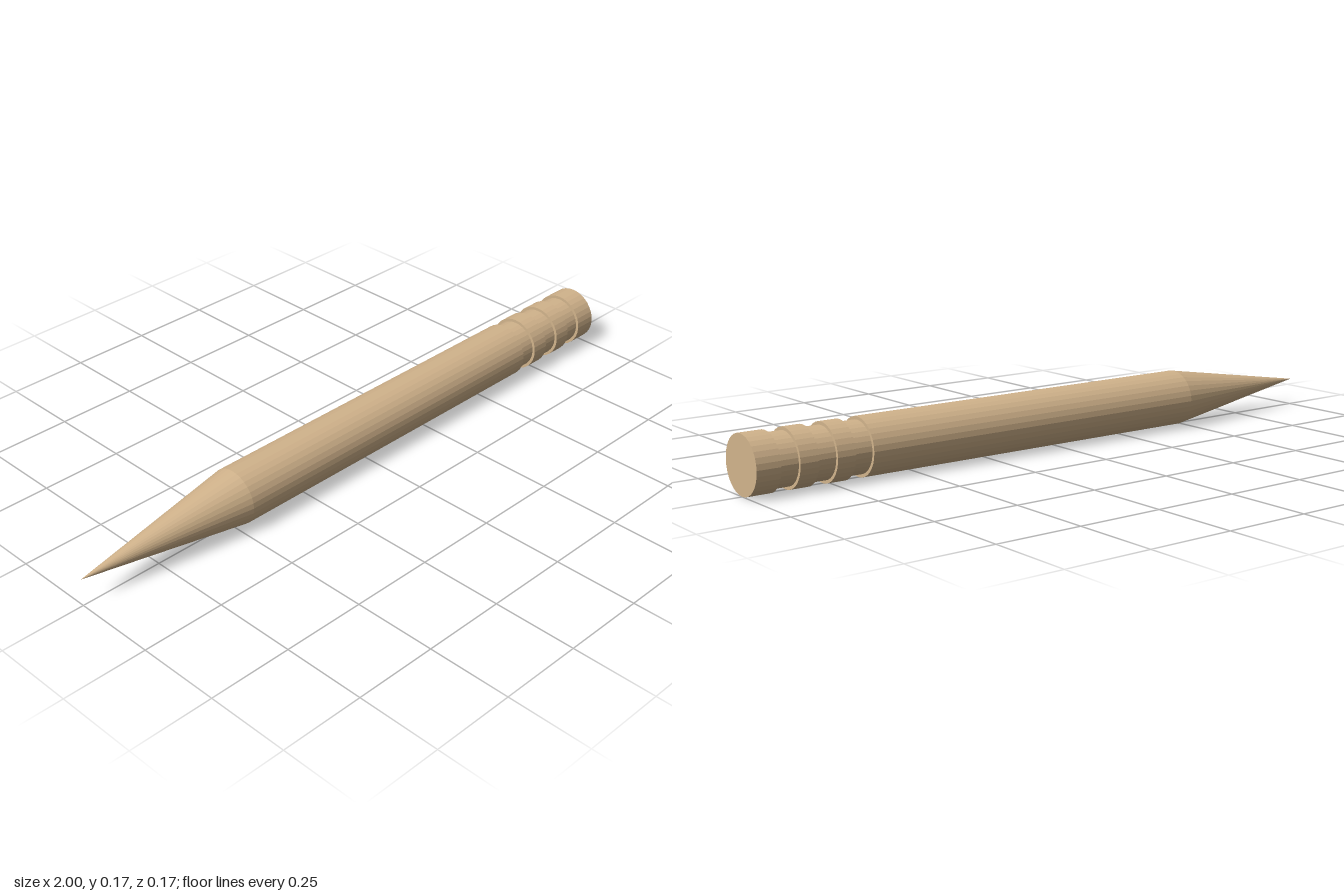
import * as THREE from 'three';

const SIDES = 32;
const RADIUS = 0.083;
const GROOVE_RADIUS = 0.074;
const AXIS_HEIGHT = 0.085;

export function createModel() {
  const group = new THREE.Group();
  const wood = new THREE.MeshStandardMaterial({ color: 0xd2b48c, flatShading: true });

  // Turns a [radius, x] profile around the x axis
  const turned = (name, profile) => {
    const points = profile.map(([r, x]) => new THREE.Vector2(r, x));
    const mesh = new THREE.Mesh(new THREE.LatheGeometry(points, SIDES), wood);
    mesh.name = name;
    mesh.rotation.z = -Math.PI / 2;
    mesh.position.y = AXIS_HEIGHT;
    group.add(mesh);
  };

  // Sharpened end
  turned('point', [[0, -1], [RADIUS, -0.48]]);

  // Straight shaft with three square-cut grooves and a flat end
  const shaft = [[RADIUS, -0.48]];
  for (let i = 0; i < 3; i++) {
    const start = 0.655 + i * 0.11;
    const end = start + 0.055;
    shaft.push([RADIUS, start], [GROOVE_RADIUS, start], [GROOVE_RADIUS, end], [RADIUS, end]);
  }
  shaft.push([RADIUS, 1], [0, 1]);
  turned('groovedShaft', shaft);

  return group;
}
